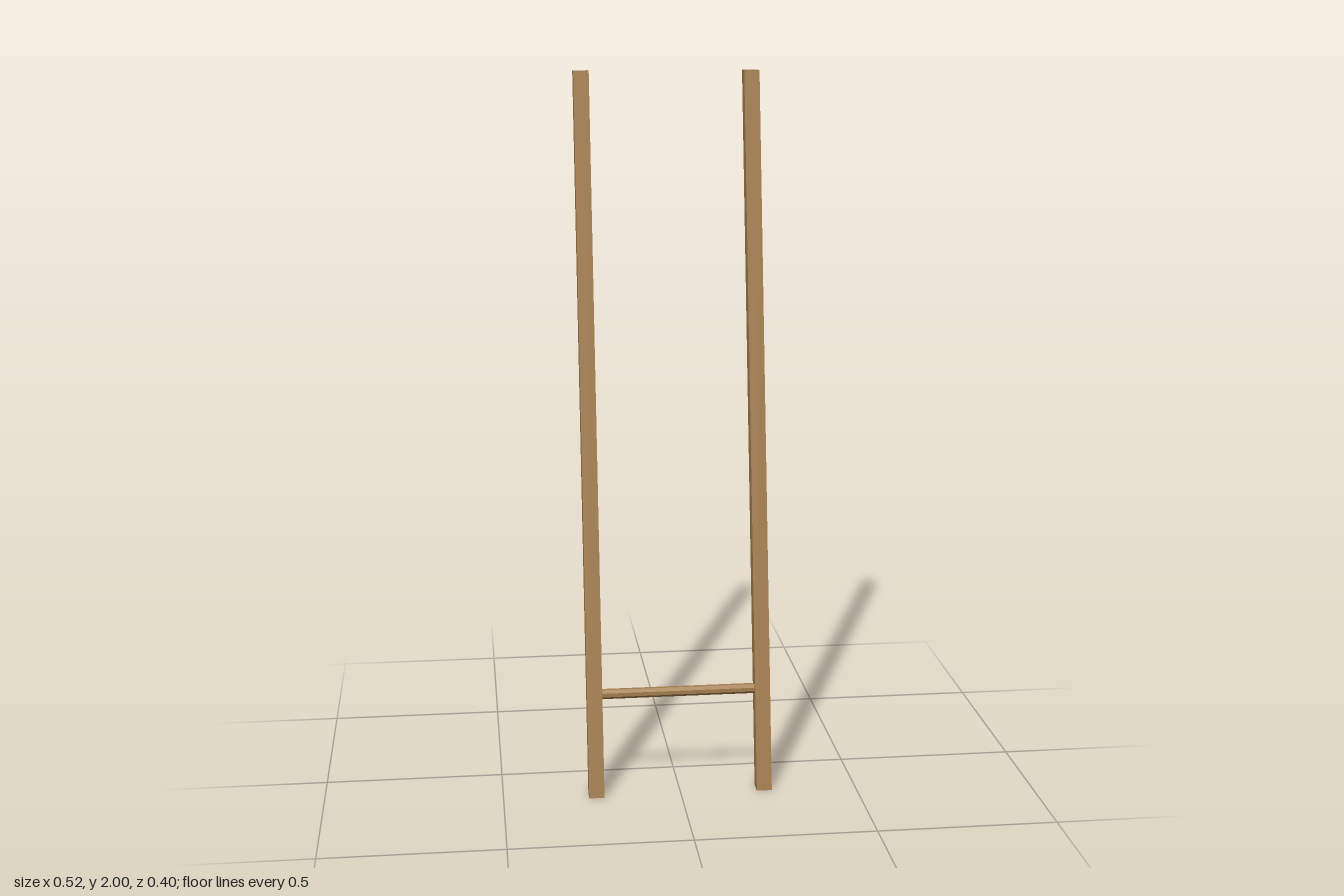
import * as THREE from 'three';

const LEAN = Math.tan(THREE.MathUtils.degToRad(10)); // backward lean per unit of height
const HEIGHT = 2;
const RAIL = 0.043; // rail thickness
const RAIL_X = 0.2385;
const RUNG_Y = 0.283;
const RUNG_RADIUS = 0.0143;

const leanZ = (y) => (HEIGHT / 2 - y) * LEAN;

// Square post sheared backward so both ends stay level
function railGeometry() {
  const geo = new THREE.BoxGeometry(RAIL, HEIGHT, RAIL);
  geo.applyMatrix4(new THREE.Matrix4().set(
    1, 0, 0, 0,
    0, 1, 0, HEIGHT / 2,
    0, -LEAN, 1, 0,
    0, 0, 0, 1,
  ));
  geo.computeVertexNormals();
  return geo;
}

export function createModel() {
  const group = new THREE.Group();
  group.name = 'leaningLadder';
  const wood = new THREE.MeshStandardMaterial({ color: 0xa57f4f, flatShading: true });
  wood.name = 'wood';

  // Side rails
  const railGeo = railGeometry();
  for (const [side, name] of [[1, 'leftRail'], [-1, 'rightRail']]) {
    const rail = new THREE.Mesh(railGeo, wood);
    rail.name = name;
    rail.position.x = side * RAIL_X;
    group.add(rail);
  }

  // Octagonal rung, flat side up, ending just inside the rails
  const rungGeo = new THREE.CylinderGeometry(RUNG_RADIUS, RUNG_RADIUS, RAIL_X * 2 - RAIL + 0.01, 8);
  rungGeo.rotateY(Math.PI / 8);
  rungGeo.rotateZ(Math.PI / 2);
  const rung = new THREE.Mesh(rungGeo, wood);
  rung.name = 'rung';
  rung.position.set(0, RUNG_Y, leanZ(RUNG_Y));
  group.add(rung);

  return group;
}
